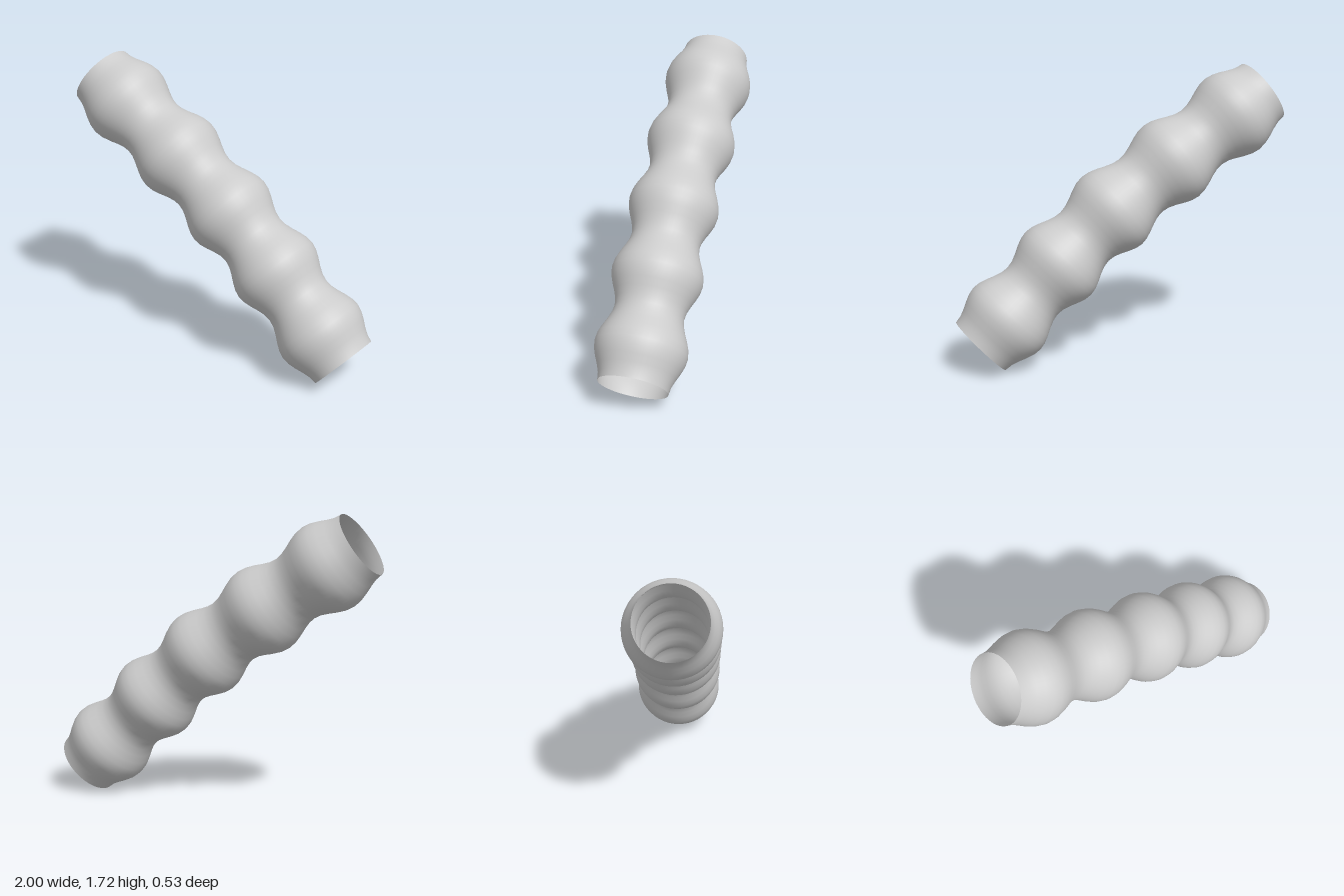
import * as THREE from 'three';
import { mergeVertices } from 'three/addons/utils/BufferGeometryUtils.js';

const BULGES = 5;
const WAIST_RADIUS = 0.2;
const BULGE_RADIUS = 0.265;

export function createModel() {
  const group = new THREE.Group();
  group.name = 'ripplePipe';

  // Gently arched centre line, falling from left to right
  const path = new THREE.CatmullRomCurve3([
    new THREE.Vector3(-0.887, 1.555, 0),
    new THREE.Vector3(0.06, 0.892, 0),
    new THREE.Vector3(0.861, 0.146, 0),
  ]);
  // Space the rings by curve parameter rather than by arc length
  path.getPointAt = path.getPoint;
  path.getTangentAt = path.getTangent;

  // Swell each ring of a plain tube into a row of soft bulges
  let geometry = new THREE.TubeGeometry(path, BULGES * 10, WAIST_RADIUS, 48, false);
  const { position, normal, uv } = geometry.attributes;
  const point = new THREE.Vector3();
  const outward = new THREE.Vector3();
  for (let i = 0; i < position.count; i++) {
    const phase = uv.getX(i) * BULGES * Math.PI * 2;
    const swell = (BULGE_RADIUS - WAIST_RADIUS) * (1 - Math.cos(phase)) / 2;
    outward.fromBufferAttribute(normal, i);
    point.fromBufferAttribute(position, i).addScaledVector(outward, swell);
    position.setXYZ(i, point.x, point.y, point.z);
  }

  // Weld the seam so the shading is smooth all round
  geometry.deleteAttribute('uv');
  geometry.deleteAttribute('normal');
  geometry = mergeVertices(geometry);
  geometry.computeVertexNormals();

  // Open-ended thin shell
  const pipe = new THREE.Mesh(
    geometry,
    new THREE.MeshStandardMaterial({ color: 0xcccccc, side: THREE.DoubleSide })
  );
  pipe.name = 'bulgedPipe';
  group.add(pipe);
  return group;
}
